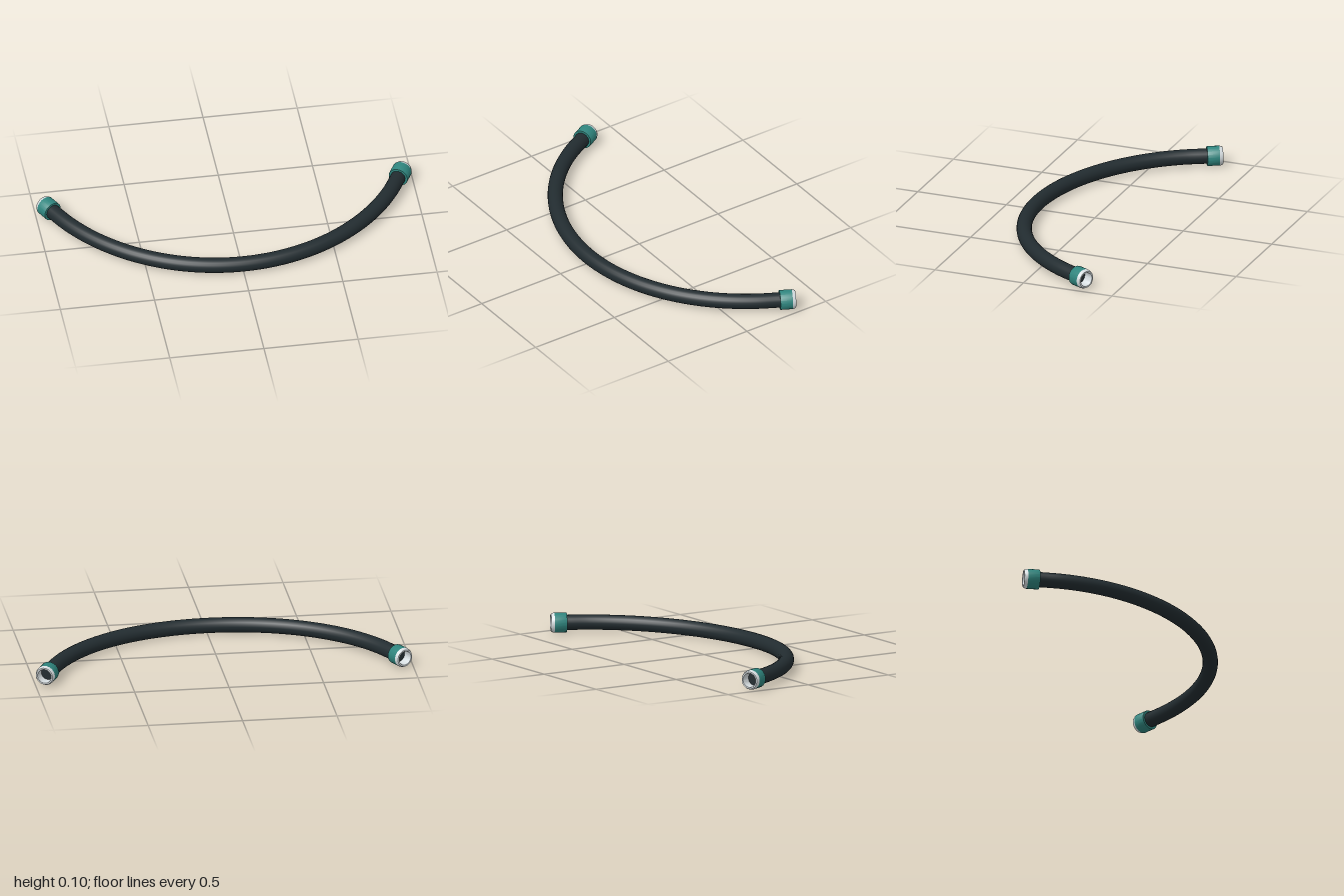
import * as THREE from 'three';
import { toCreasedNormals } from 'three/addons/utils/BufferGeometryUtils.js';

const V2 = (x, y) => new THREE.Vector2(x, y);

export function createModel() {
  const group = new THREE.Group();
  const rubber = new THREE.MeshStandardMaterial({ color: 0x222c30 });
  const teal = new THREE.MeshStandardMaterial({ color: 0x2f857e });
  const pale = new THREE.MeshStandardMaterial({ color: 0xd5dcdf });

  const END_Y = 0.0525, MID_Y = 0.041, HOSE_R = 0.04;
  const tilt = THREE.MathUtils.degToRad(62.5);
  const endDir = (s) => new THREE.Vector3(s * Math.sin(Math.PI / 2 - tilt), 0, -Math.sin(tilt));
  const endPos = (s) => new THREE.Vector3(s * 0.955, END_Y, -0.338);

  // Hose: circular arc sagging slightly in the middle, running into both collars
  const arcR = 1.009, sweep = THREE.MathUtils.degToRad(64);
  const inside = (s) => endPos(s).addScaledVector(endDir(s), -0.056);
  const path = [inside(-1)];
  const steps = 24;
  for (let i = 0; i <= steps; i++) {
    const t = (i / steps) * 2 - 1;
    const a = t * sweep;
    const rise = THREE.MathUtils.smoothstep(Math.abs(t), 0, 1);
    path.push(new THREE.Vector3(
      arcR * Math.sin(a),
      MID_Y + (END_Y - MID_Y) * rise,
      0.32 - arcR + arcR * Math.cos(a)));
  }
  path.push(inside(1));
  const hose = new THREE.Mesh(
    new THREE.TubeGeometry(new THREE.CatmullRomCurve3(path), 96, HOSE_R, 20), rubber);
  hose.name = 'hose';
  group.add(hose);

  // End fitting: profiles turned about the fitting's own axis, mouth at y = 0
  const lathe = (points) => toCreasedNormals(new THREE.LatheGeometry(points, 20), 0.5);
  const collarGeo = lathe([V2(0.037, -0.083), V2(0.0515, -0.083), V2(0.0525, -0.081), V2(0.0525, -0.018)]);
  const ringGeo = lathe([
    V2(0.0525, -0.018), V2(0.0515, -0.011), V2(0.046, 0), V2(0.038, 0), V2(0.037, -0.002), V2(0.037, -0.06),
  ]);
  const plugGeo = new THREE.CircleGeometry(HOSE_R, 20).rotateX(-Math.PI / 2).translate(0, -0.056, 0);

  for (const [side, s] of [['left', 1], ['right', -1]]) {
    const fitting = new THREE.Group();
    fitting.name = side + 'Fitting';
    const parts = [['collar', collarGeo, teal], ['mouthRing', ringGeo, pale], ['hoseEnd', plugGeo, rubber]];
    for (const [name, geo, mat] of parts) {
      const mesh = new THREE.Mesh(geo, mat);
      mesh.name = name;
      fitting.add(mesh);
    }
    fitting.position.copy(endPos(s));
    fitting.quaternion.setFromUnitVectors(new THREE.Vector3(0, 1, 0), endDir(s).normalize());
    group.add(fitting);
  }
  return group;
}
